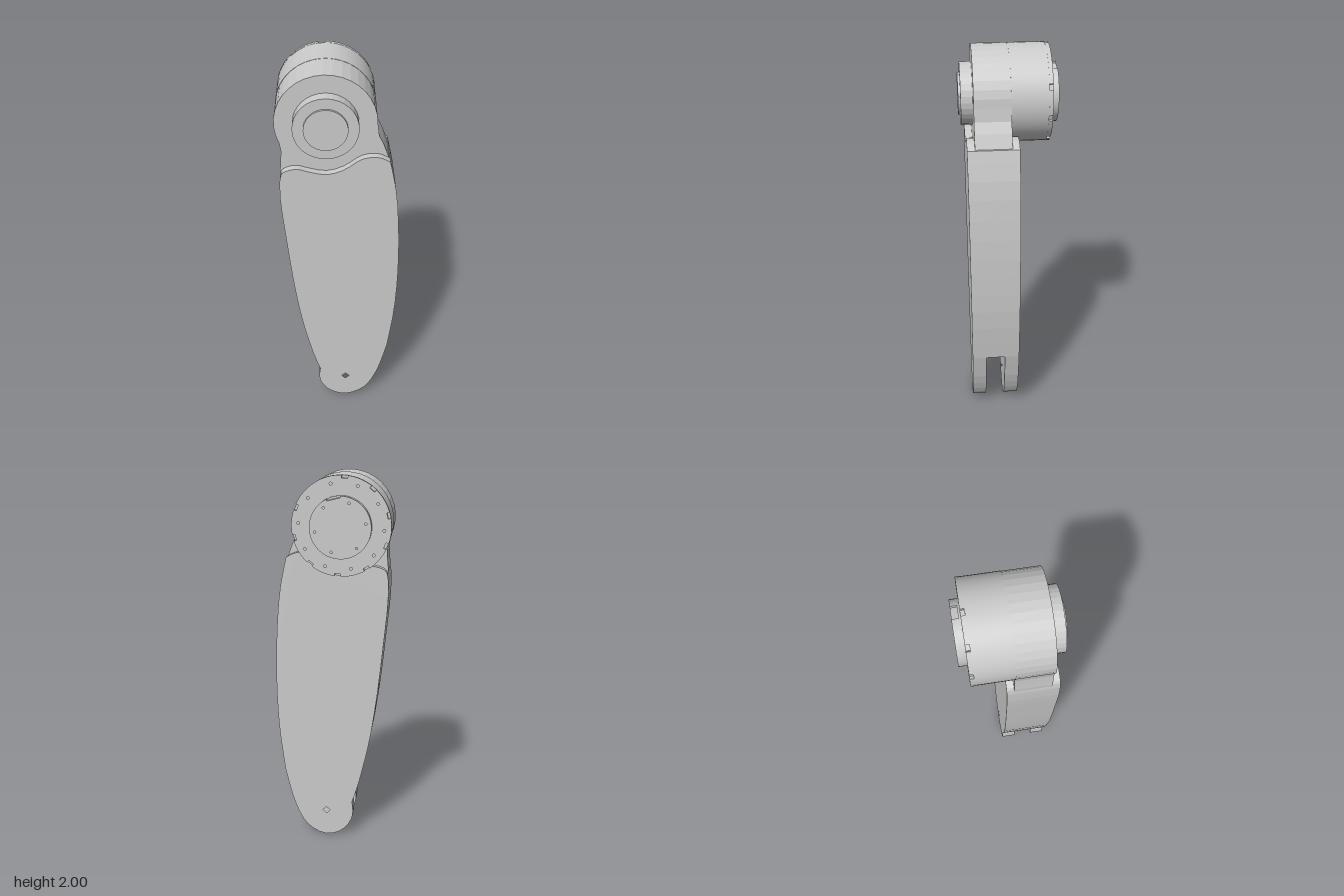
import * as THREE from 'three';
import { toCreasedNormals } from 'three/addons/utils/BufferGeometryUtils.js';

const HUB = [-0.064, 1.763]; // axis of the upper joint
const flat = new THREE.MeshStandardMaterial({ color: 0xcccccc, flatShading: true });
const smooth = new THREE.MeshStandardMaterial({ color: 0xcccccc });

// Extrude a shape between two depths
function slab(name, shape, z0, z1, curveSegments, creased = false) {
  let geo = new THREE.ExtrudeGeometry(shape, { depth: z1 - z0, bevelEnabled: false, curveSegments });
  if (creased) geo = toCreasedNormals(geo, 0.5);
  geo.translate(0, 0, z0);
  const mesh = new THREE.Mesh(geo, creased ? smooth : flat);
  mesh.name = name;
  return mesh;
}

// Cylinder along z on the hub axis
function disc(name, r, z0, z1, sides, material) {
  const geo = new THREE.CylinderGeometry(r, r, z1 - z0, sides);
  geo.rotateX(Math.PI / 2).translate(HUB[0], HUB[1], (z0 + z1) / 2);
  const mesh = new THREE.Mesh(geo, material);
  mesh.name = name;
  return mesh;
}

function circleHole(x, y, r) {
  const path = new THREE.Path();
  path.absarc(x, y, r, 0, Math.PI * 2, true);
  return path;
}

// Point at a clockwise angle in degrees from the top of the hub
function polar(r, deg) {
  const a = THREE.MathUtils.degToRad(deg);
  return new THREE.Vector2(HUB[0] + r * Math.sin(a), HUB[1] + r * Math.cos(a));
}

// Round outline with rim notches: each notch angle is in degrees
function notchedDisc(r, notches, width, depth) {
  const half = THREE.MathUtils.radToDeg(width / 2 / r);
  const pts = [];
  notches.forEach((a, i) => {
    pts.push(polar(r, a - half), polar(r - depth, a - half), polar(r - depth, a + half));
    const from = a + half;
    const to = (i + 1 < notches.length ? notches[i + 1] : notches[0] + 360) - half;
    const n = Math.ceil((to - from) / 6);
    for (let k = 0; k < n; k++) pts.push(polar(r, from + (to - from) * k / n));
  });
  return new THREE.Shape(pts);
}

const toPoints = list => list.map(([x, y]) => new THREE.Vector2(x, y));

// Wavy upper edge, right side, and left side of the limb
const topEdge = toPoints([[-0.284, 1.47], [-0.275, 1.515], [-0.25, 1.535], [-0.2, 1.545], [-0.14, 1.528],
  [-0.06, 1.515], [0.02, 1.54], [0.09, 1.59], [0.14, 1.606], [0.19, 1.603], [0.235, 1.58]]);
const rightEdge = toPoints([[0.235, 1.58], [0.272, 1.4], [0.293, 1.15], [0.299, 0.9], [0.29, 0.65], [0.262, 0.4]]);
const rightFoot = toPoints([[0.262, 0.4], [0.222, 0.23], [0.175, 0.11], [0.12, 0.04], [0.033, 0.003],
  [-0.05, 0.03], [-0.1, 0.09], [-0.116, 0.15], [-0.11, 0.215]]);
const leftFoot = toPoints([[-0.11, 0.215], [-0.128, 0.27], [-0.148, 0.34]]);
const leftEdge = toPoints([[-0.148, 0.34], [-0.2, 0.58], [-0.238, 0.85], [-0.267, 1.15], [-0.284, 1.35], [-0.284, 1.47]]);

function limbShape(withFoot) {
  const s = new THREE.Shape();
  s.moveTo(topEdge[0].x, topEdge[0].y);
  s.splineThru(topEdge.slice(1));
  s.splineThru(rightEdge.slice(1));
  if (withFoot) {
    s.splineThru(rightFoot.slice(1));
    s.splineThru(leftFoot.slice(1));
    s.holes.push(circleHole(0.033, 0.155, 0.02));
  } else {
    s.lineTo(leftEdge[0].x, leftEdge[0].y); // sloping roof of the fork slot
  }
  s.splineThru(leftEdge.slice(1));
  return s;
}

// Rounded head with its neck running down into the limb
function headShape() {
  const s = new THREE.Shape();
  s.moveTo(0.25, 1.45);
  s.lineTo(0.233, 1.575);
  s.lineTo(0.205, 1.65);
  s.lineTo(0.181, 1.7);
  s.absarc(HUB[0], HUB[1], 0.237, 0, THREE.MathUtils.degToRad(205), false);
  s.lineTo(-0.273, 1.62);
  s.lineTo(-0.276, 1.57);
  s.lineTo(-0.281, 1.52);
  s.lineTo(-0.275, 1.4);
  return s;
}

export function createModel() {
  const model = new THREE.Group();
  model.name = 'limbLink';

  // Limb: two fork plates around a shorter core
  const limb = new THREE.Group();
  limb.name = 'limb';
  limb.add(
    slab('frontPlate', limbShape(true), 0.135, 0.208, 2),
    slab('core', limbShape(false), 0.035, 0.135, 2),
    slab('backPlate', limbShape(true), -0.041, 0.035, 2),
  );

  // Head with a stepped front cap
  const head = new THREE.Group();
  head.name = 'head';
  head.add(
    slab('headBody', headShape(), -0.006, 0.171, 10),
    disc('bearingCap', 0.152, 0.165, 0.228, 32, flat),
    disc('bearingShaft', 0.102, 0.22, 0.239, 32, flat),
  );

  // Motor: housing, notched flange with screw holes, rear cover
  const motor = new THREE.Group();
  motor.name = 'motor';
  const notches = [];
  for (let i = 0; i < 10; i++) if (i !== 1) notches.push(-4 + i * 36);
  const flange = notchedDisc(0.239, notches, 0.03, 0.014);
  for (let i = 0; i < 10; i++) {
    const p = polar(0.205, 14 + i * 36);
    flange.holes.push(circleHole(p.x, p.y, 0.007));
  }
  const cover = notchedDisc(0.147, [13.5], 0.068, 0.008);
  for (let i = 0; i < 6; i++) {
    const p = polar(0.122, 40 + i * 60);
    cover.holes.push(circleHole(p.x, p.y, 0.006));
  }
  motor.add(
    disc('motorHousing', 0.238, -0.182, -0.004, 64, smooth),
    slab('motorFlange', flange, -0.201, -0.182, 5, true),
    disc('coverBase', 0.146, -0.21, -0.19, 64, smooth),
    slab('motorCover', cover, -0.24, -0.208, 5, true),
  );

  model.add(limb, head, motor);
  return model;
}
